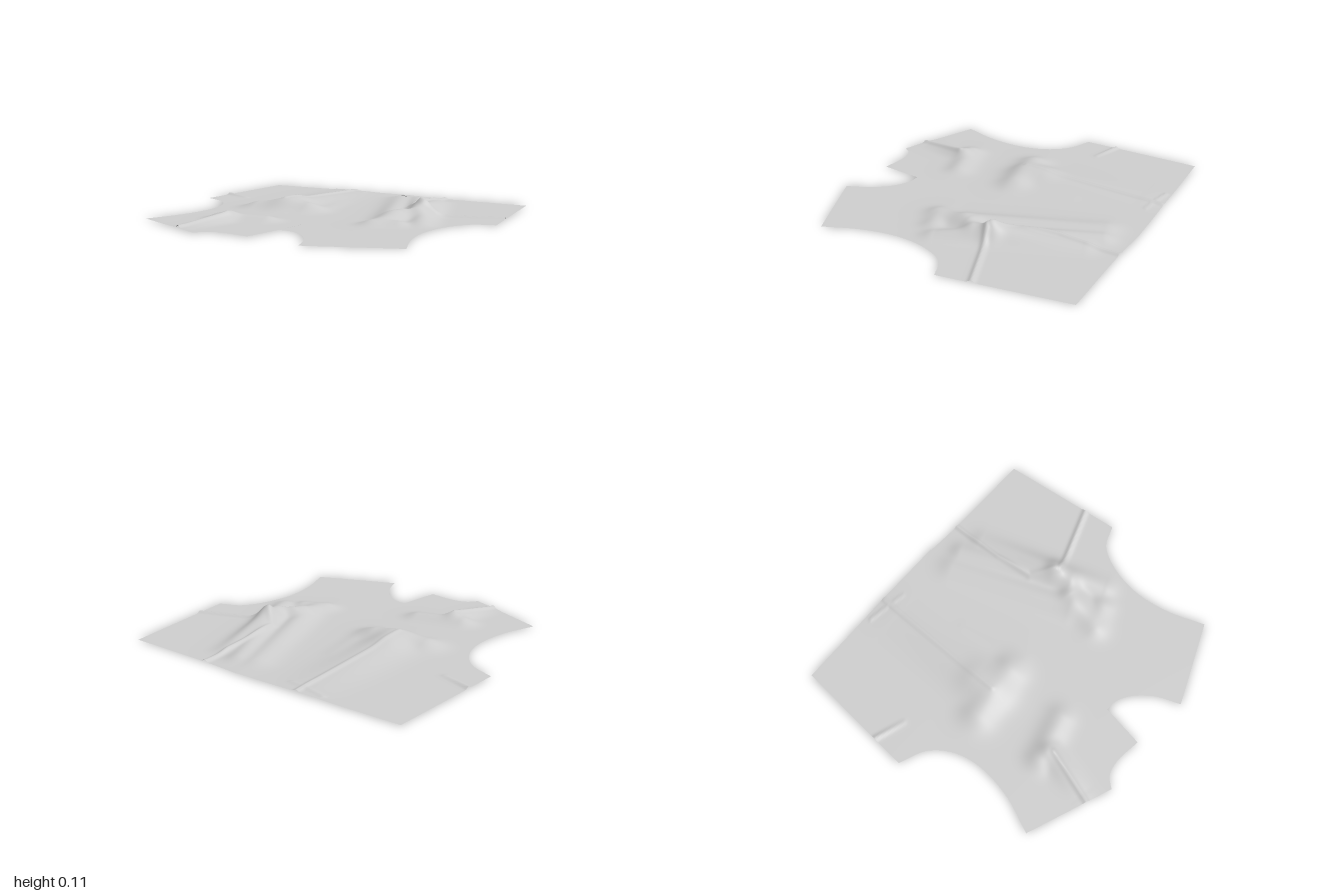
import * as THREE from 'three';

// Edge made of curve pieces; each piece ends at its given share of the edge
function makeEdge(...pieces) {
  const parts = pieces.map(([end, pts]) => ({
    end,
    curve: new THREE.CatmullRomCurve3(pts.map(([x, z]) => new THREE.Vector3(x, 0, z)), false, 'centripetal'),
  }));
  return (t) => {
    let start = 0;
    for (const { end, curve } of parts) {
      if (t <= end + 1e-9) return curve.getPointAt(Math.min(1, (t - start) / (end - start)));
      start = end;
    }
  };
}

// Soft folds: ax, az, bx, bz, height at a, height at b, width
const folds = [
  [-0.33, -0.75, -0.31, -0.1, 0.015, 0.05, 0.15],
  [-0.48, 0.03, -0.16, -0.01, 0.042, 0.048, 0.1],
  [-0.32, -0.12, -0.31, 0.0, 0.045, 0.045, 0.12],
  [-0.14, -0.4, -0.08, 0.0, 0.006, 0.012, 0.06],
  [-0.45, 0.48, -0.18, 0.41, 0.036, 0.028, 0.075],
  [-0.38, 0.5, -0.45, 0.8, 0.048, 0.008, 0.065],
  [0.13, -0.72, 0.4, 0.0, 0.024, 0.04, 0.085],
  [0.24, -0.75, 0.52, -0.1, 0.028, 0.058, 0.07],
  [0.38, -0.7, 0.52, -0.22, 0.022, 0.068, 0.075],
  [0.52, -0.22, 0.64, 0.08, 0.064, 0.025, 0.07],
  [0.46, -0.04, 0.4, 0.2, 0.058, 0.022, 0.08],
  [0.4, 0.2, 0.53, 0.15, 0.022, 0.026, 0.07],
];

// Sharp creases along seams and darts, same layout
const creases = [
  [-0.31, -0.9, -0.32, 0.0, 0.012, 0.006, 0.014],
  [-0.46, -0.87, -0.21, -0.83, 0.007, 0.004, 0.01],
  [-0.37, 0.52, -0.47, 0.86, 0.012, 0.014, 0.016],
  [-1.01, -0.34, -0.8, -0.27, 0.016, 0.005, 0.014],
  [0.36, -0.92, 0.36, -0.55, 0.014, 0.014, 0.016],
  [0.36, -0.55, 0.39, -0.31, 0.014, 0.008, 0.016],
  [0.39, -0.31, 0.53, -0.19, 0.008, 0.014, 0.022],
  [0.53, -0.19, 1.01, -0.36, 0.016, 0.014, 0.016],
];

function ridge([ax, az, bx, bz, ha, hb, w], x, z) {
  const dx = bx - ax, dz = bz - az;
  const t = THREE.MathUtils.clamp(((x - ax) * dx + (z - az) * dz) / (dx * dx + dz * dz), 0, 1);
  const d = Math.hypot(x - ax - t * dx, z - az - t * dz) / w;
  return (ha + (hb - ha) * t) * Math.exp(-d * d);
}

function clothHeight(x, z) {
  const soft = Math.pow(folds.reduce((s, f) => s + ridge(f, x, z) ** 2, 0), 0.5);
  const sharp = Math.max(...creases.map((c) => ridge(c, x, z)));
  return soft + sharp;
}

// Sheet of cloth stretched between four edges and lifted into folds
function clothPanel(name, top, bottom, left, right, lift, material, nu = 100, nv = 160) {
  const pos = [], index = [];
  const c00 = top(0), c10 = top(1), c01 = bottom(0), c11 = bottom(1);
  for (let j = 0; j <= nv; j++) {
    const v = j / nv, l = left(v), r = right(v);
    for (let i = 0; i <= nu; i++) {
      const u = i / nu, t = top(u), b = bottom(u);
      const at = (k) =>
        (1 - v) * t[k] + v * b[k] + (1 - u) * l[k] + u * r[k] -
        ((1 - u) * (1 - v) * c00[k] + u * (1 - v) * c10[k] + (1 - u) * v * c01[k] + u * v * c11[k]);
      const x = at('x'), z = at('z');
      pos.push(x, lift + clothHeight(x, z), z);
      if (i < nu && j < nv) {
        const a = j * (nu + 1) + i, d = a + nu + 1;
        index.push(a, d, a + 1, a + 1, d, d + 1);
      }
    }
  }
  const geo = new THREE.BufferGeometry();
  geo.setAttribute('position', new THREE.Float32BufferAttribute(pos, 3));
  geo.setIndex(index);
  geo.computeVertexNormals();
  const mesh = new THREE.Mesh(geo, material);
  mesh.name = name;
  return mesh;
}

export function createModel() {
  const group = new THREE.Group();
  group.name = 'garment';
  const cloth = new THREE.MeshStandardMaterial({ color: 0xcccccc, side: THREE.DoubleSide });
  cloth.name = 'pale grey cloth';

  // Right panel: hem, shoulder with small neck curve, armhole side, front opening
  group.add(clothPanel('rightPanel',
    makeEdge([1, [[-0.95, -0.89], [-0.4, -0.905], [0.13, -0.915]]]),
    makeEdge([0.6, [[-0.825, 0.7], [-0.315, 0.908]]],
      [1, [[-0.315, 0.908], [-0.26, 0.85], [-0.17, 0.83], [0, 0.85]]]),
    makeEdge([0.45, [[-0.95, -0.89], [-1, -0.125]]],
      [1, [[-1, -0.125], [-0.84, -0.05], [-0.745, 0.08], [-0.71, 0.25], [-0.74, 0.48], [-0.825, 0.7]]]),
    makeEdge([0.85, [[0.13, -0.915], [0.115, -0.2], [0.04, 0.59]]],
      [1, [[0.04, 0.59], [0, 0.85]]]),
    0.005, cloth));

  // Left panel: tucked slightly under the front opening, with a deep neck curve
  group.add(clothPanel('leftPanel',
    makeEdge([1, [[0.11, -0.912], [0.36, -0.9], [0.915, -0.9]]]),
    makeEdge([0.5, [[0.03, 0.59], [0.11, 0.595], [0.21, 0.655], [0.29, 0.755], [0.35, 0.9]]],
      [1, [[0.35, 0.9], [0.85, 0.7]]]),
    makeEdge([1, [[0.11, -0.912], [0.095, -0.2], [0.03, 0.59]]]),
    makeEdge([0.45, [[0.915, -0.9], [1, -0.145]]],
      [1, [[1, -0.145], [0.87, -0.09], [0.785, 0.05], [0.745, 0.25], [0.77, 0.47], [0.85, 0.7]]]),
    0.001, cloth));

  return group;
}
